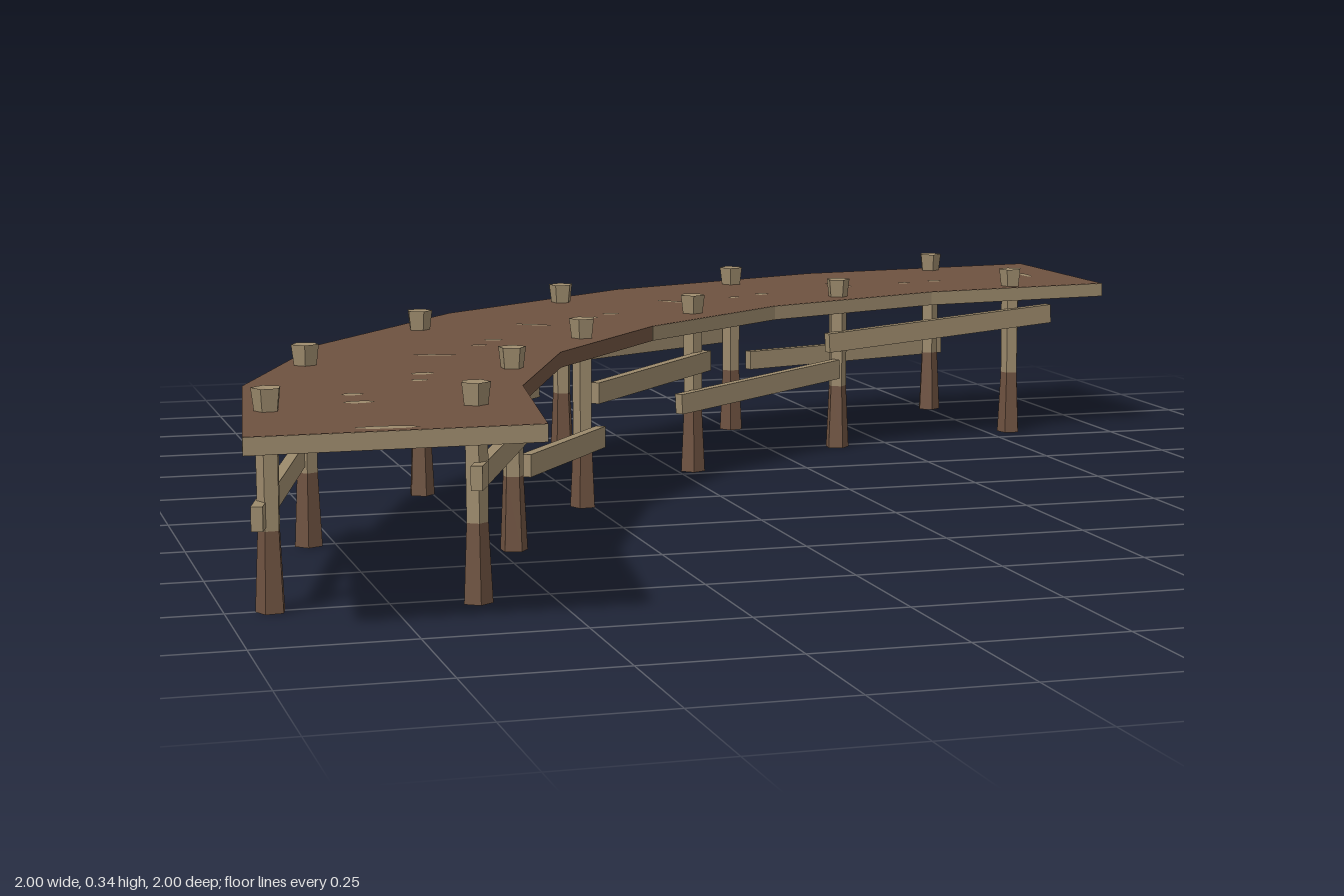
import * as THREE from 'three';

const BROWN = new THREE.MeshStandardMaterial({ color: 0x6e5240, flatShading: true });
BROWN.name = 'dark timber';
const TAN = new THREE.MeshStandardMaterial({ color: 0x9c8a6c, flatShading: true });
TAN.name = 'pale timber';

const DECK_TOP = 0.305, DECK_THICK = 0.027;

// Deck outline as x, z pairs, from the back end to the front end
const OUTER = [[1, -1], [0.48, -0.93], [0, -0.735], [-0.415, -0.415], [-0.735, 0], [-0.93, 0.48], [-1, 1]];
const INNER = [[-0.56, 1], [-0.505, 0.6], [-0.35, 0.215], [-0.1, -0.1], [0.215, -0.35], [0.6, -0.505], [1, -0.56]];

// Post positions along both edges
const OUTER_POSTS = [[0.755, -0.925], [0.255, -0.77], [-0.165, -0.54], [-0.52, -0.175], [-0.795, 0.255], [-0.93, 0.755]];
const INNER_POSTS = [[0.8, -0.57], [0.39, -0.48], [0.03, -0.285], [-0.265, 0.03], [-0.475, 0.39], [-0.62, 0.78]];

// Board from one point to another, standing on its narrow edge
function board(name, a, b, height, thick) {
  const from = new THREE.Vector3(...a), to = new THREE.Vector3(...b);
  const mesh = new THREE.Mesh(new THREE.BoxGeometry(thick, height, from.distanceTo(to)), TAN);
  mesh.position.copy(from).add(to).multiplyScalar(0.5);
  mesh.lookAt(to);
  mesh.name = name;
  return mesh;
}

// Rough post: dark flared foot, pale shaft that widens above the deck
function post(name, [x, z], i) {
  const group = new THREE.Group();
  const lathe = (pts, mat, part) => {
    const mesh = new THREE.Mesh(new THREE.LatheGeometry(pts.map(p => new THREE.Vector2(...p)), 5), mat);
    mesh.name = part;
    group.add(mesh);
  };
  lathe([[0, 0], [0.024, 0], [0.018, 0.125]], BROWN, 'postFoot');
  lathe([[0.018, 0.125], [0.019, 0.3], [0.024, 0.34], [0, 0.336]], TAN, 'postShaft');
  group.position.set(x, 0, z);
  group.rotation.y = i * 0.9;
  group.name = name;
  return group;
}

export function createModel() {
  const model = new THREE.Group();
  model.name = 'curvedBoardwalk';

  // Curved deck
  const shape = new THREE.Shape([...OUTER, ...INNER].map(p => new THREE.Vector2(...p)));
  const deckGeo = new THREE.ExtrudeGeometry(shape, { depth: DECK_THICK, bevelEnabled: false });
  deckGeo.rotateX(Math.PI / 2).translate(0, DECK_TOP, 0);
  const deck = new THREE.Mesh(deckGeo, BROWN);
  deck.name = 'deck';
  model.add(deck);

  // Pale facing on the two ends and the back half of the inner edge
  const edge = (name, p, q) => {
    const y = DECK_TOP - DECK_THICK / 2;
    model.add(board(name, [p[0], y, p[1]], [q[0], y, q[1]], DECK_THICK - 0.001, 0.003));
  };
  edge('frontEnd', OUTER[6], INNER[0]);
  edge('backEnd', INNER[6], OUTER[0]);
  for (let i = 3; i < 6; i++) edge('innerEdge', INNER[i], INNER[i + 1]);

  // Posts
  OUTER_POSTS.forEach((p, i) => model.add(post('outerPost', p, i)));
  INNER_POSTS.forEach((p, i) => model.add(post('innerPost', p, i + 2)));

  // Crooked side rails on the outward face of the posts
  [
    [[0.30, 0.14, -0.795], [0.785, 0.14, -0.945]],
    [[-0.21, 0.2, -0.54], [0.25, 0.2, -0.795]],
    [[-0.58, 0.135, -0.14], [-0.23, 0.145, -0.49]],
    [[-0.765, 0.205, 0.18], [-0.575, 0.215, -0.12]],
    [[-0.955, 0.15, 0.8], [-0.8, 0.155, 0.23]],
  ].forEach(([a, b]) => model.add(board('outerRail', a, b, 0.038, 0.018)));
  [
    [[0.36, 0.215, -0.455], [0.885, 0.245, -0.57]],
    [[-0.01, 0.137, -0.24], [0.38, 0.162, -0.455]],
    [[-0.245, 0.205, 0.035], [0.06, 0.212, -0.29]],
    [[-0.45, 0.138, 0.375], [-0.235, 0.127, 0.04]],
    [[-0.63, 0.2, 0.83], [-0.452, 0.196, 0.365]],
  ].forEach(([a, b]) => model.add(board('innerRail', a, b, 0.038, 0.018)));

  // Worn pale patches on the deck: x, z, length, width, turn
  [
    [0.91, -0.76, 0.08, 0.02, 1.5], [0.68, -0.7, 0.035, 0.03, 1.4], [0.605, -0.68, 0.03, 0.025, 0.3],
    [0.46, -0.68, 0.08, 0.025, -1.1], [0.255, -0.56, 0.035, 0.028, 0.8], [0.185, -0.52, 0.03, 0.022, 0.8],
    [0.045, -0.48, 0.08, 0.02, -0.9], [-0.125, -0.31, 0.035, 0.03, 0.3], [-0.175, -0.26, 0.03, 0.025, 0.8],
    [-0.305, -0.18, 0.08, 0.02, -0.65], [-0.425, 0.02, 0.035, 0.028, -0.4], [-0.465, 0.085, 0.03, 0.02, 0],
    [-0.565, 0.195, 0.08, 0.018, -0.3], [-0.63, 0.42, 0.04, 0.028, 0], [-0.65, 0.495, 0.03, 0.025, 0.2],
    [-0.78, 0.625, 0.035, 0.028, 0], [-0.785, 0.71, 0.05, 0.028, 0], [-0.79, 0.97, 0.1, 0.028, -0.1],
  ].forEach(([x, z, l, w, turn]) => {
    const patch = new THREE.Mesh(new THREE.CircleGeometry(0.5, 7).rotateX(-Math.PI / 2), TAN);
    patch.scale.set(l, 1, w);
    patch.rotation.y = turn;
    patch.position.set(x, DECK_TOP + 0.0006, z);
    patch.name = 'wornPatch';
    model.add(patch);
  });

  return model;
}
